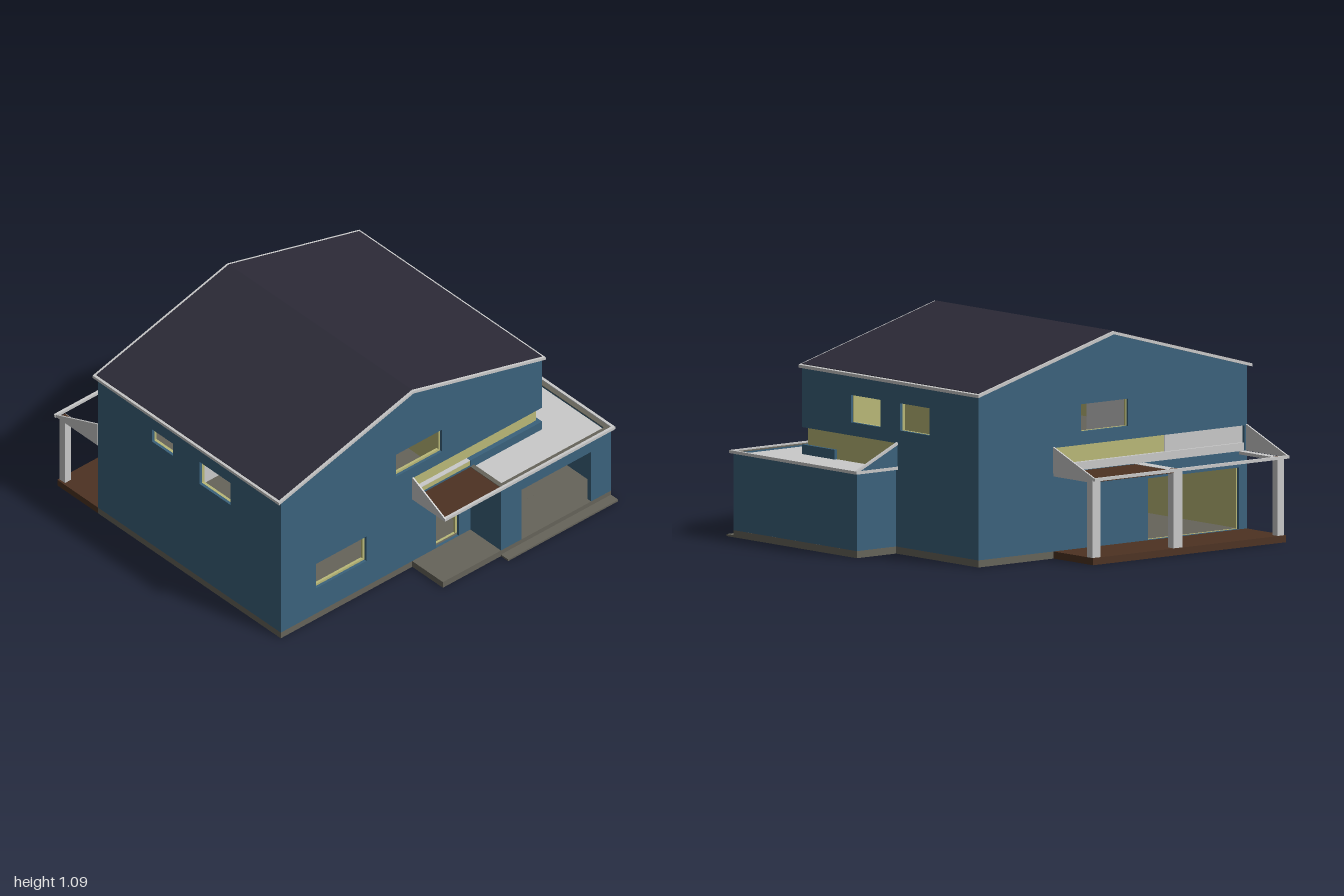
import * as THREE from 'three';

const mat = (name, color) => {
  const m = new THREE.MeshStandardMaterial({ color });
  m.name = name;
  return m;
};

export function createModel() {
  const house = new THREE.Group();
  house.name = 'house';
  const blue = mat('blue siding', 0x3b627c);
  const yellow = mat('yellow plaster', 0xbab978);
  const light = mat('light trim', 0xcacaca);
  const grey = mat('grey concrete', 0x66645a);
  const brown = mat('brown timber', 0x4d3222);
  const dark = mat('dark roofing', 0x2c2a37);

  const add = (name, geo, m) => {
    const mesh = new THREE.Mesh(geo, m);
    mesh.name = name;
    house.add(mesh);
  };
  const box = (name, m, x0, x1, y0, y1, z0, z1) =>
    add(name, new THREE.BoxGeometry(x1 - x0, y1 - y0, z1 - z0)
      .translate((x0 + x1) / 2, (y0 + y1) / 2, (z0 + z1) / 2), m);
  const extrude = (pts, holes, depth) => {
    const v = (list) => list.map(([a, b]) => new THREE.Vector2(a, b));
    const shape = new THREE.Shape(v(pts));
    for (const [a0, a1, b0, b1] of holes) {
      shape.holes.push(new THREE.Path(v([[a0, b0], [a0, b1], [a1, b1], [a1, b0]])));
    }
    return new THREE.ExtrudeGeometry(shape, { depth, bevelEnabled: false });
  };
  // wall facing z: outline in (x, y); wall facing x: outline in (z, y)
  const wallZ = (name, m, z0, z1, pts, holes = []) =>
    add(name, extrude(pts, holes, z1 - z0).translate(0, 0, z0), m);
  const wallX = (name, m, x0, x1, pts, holes = []) =>
    add(name, extrude(pts, holes, x1 - x0).rotateY(-Math.PI / 2).translate(x1, 0, 0), m);
  const rect = (a0, a1, b0, b1) => [[a0, b0], [a1, b0], [a1, b1], [a0, b1]];

  // ---- plinth, porch floor, drive and deck
  box('plinthMain', grey, -0.98, 0.73, 0, 0.035, -0.65, 0.69);
  box('plinthGarage', grey, 0.26, 0.98, 0, 0.0349, -0.025, 0.915);
  box('porchFloor', grey, -0.12, 0.26, 0, 0.0349, 0.69, 0.915);
  box('driveStrip', grey, 0.26, 0.98, 0, 0.01, 0.915, 0.968);
  box('backDeck', brown, -0.98, 0.25, 0, 0.035, -0.95, -0.65);

  // ---- front wall: outer siding and inner plaster
  const upWin = [-0.225, 0.075, 0.61, 0.745];
  const frontHoles = [upWin, [-0.75, -0.42, 0.19, 0.34], [0.035, 0.185, 0.036, 0.34]];
  wallZ('frontWall', blue, 0.675, 0.69, [[-0.98, 0.035], [0.26, 0.035], [0.26, 0.43], [-0.115, 0.43],
    [-0.115, 0.545], [0.73, 0.545], [0.73, 0.845], [-0.12, 1.075], [-0.98, 0.845]], frontHoles);
  wallZ('frontWallInside', yellow, 0.65, 0.663, [[-0.965, 0.035], [0.27, 0.035], [0.27, 0.44], [0.714, 0.44],
    [0.714, 0.83], [-0.12, 1.055], [-0.965, 0.83]], frontHoles);
  box('frontBeam', blue, 0.26, 0.73, 0.40, 0.46, 0.664, 0.69);
  box('porchBeam', yellow, -0.115, 0.26, 0.43, 0.457, 0.663, 0.688);
  box('porchLedge', light, -0.115, 0.26, 0.457, 0.46, 0.66, 0.689);

  // ---- back wall
  const backHoles = [upWin, [-0.93, -0.35, 0.036, 0.34]];
  wallZ('backWallLower', blue, -0.65, -0.635, rect(-0.98, 0.73, 0.035, 0.42), [backHoles[1]]);
  wallZ('backWallUpper', blue, -0.65, -0.635, [[-0.98, 0.545], [0.25, 0.545], [0.25, 0.42], [0.73, 0.42],
    [0.73, 0.845], [-0.12, 1.075], [-0.98, 0.845]], [upWin]);
  wallZ('backWallInside', yellow, -0.628, -0.616, [[-0.965, 0.035], [0.714, 0.035], [0.714, 0.83],
    [-0.12, 1.055], [-0.965, 0.83]], backHoles);
  box('backBathPanel', light, -0.965, -0.47, 0.46, 0.545, -0.634, -0.628);
  box('backLedge', light, -0.965, 0.25, 0.42, 0.46, -0.648, -0.628);

  // ---- side walls
  const bathWin = [-0.255, -0.10, 0.67, 0.745];
  const sideWin = [0.095, 0.32, 0.61, 0.745];
  const backWin = [-0.28, -0.055, 0.61, 0.745];
  wallX('leftSideWall', blue, -0.98, -0.965, rect(-0.65, 0.69, 0.035, 0.845), [bathWin, sideWin]);
  wallX('leftSideInside', yellow, -0.965, -0.95, rect(-0.628, 0.66, 0.035, 0.83), [bathWin, sideWin]);
  wallX('rightSideWall', blue, 0.715, 0.73, [[-0.65, 0.035], [-0.025, 0.035], [-0.025, 0.545], [0.69, 0.545],
    [0.69, 0.845], [-0.65, 0.845]], [sideWin, backWin]);
  wallX('rightSideInside', yellow, 0.70, 0.714, rect(-0.628, 0.66, 0.40, 0.83), [sideWin, backWin]);
  box('rightBeam', blue, 0.70, 0.73, 0.40, 0.46, 0.445, 0.69);

  // ---- rooms
  box('upperFloor', grey, -0.95, 0.70, 0.43, 0.46, -0.616, 0.65);
  box('upperCeiling', light, -0.95, 0.70, 0.81, 0.82, -0.616, 0.65);
  box('lowerCeiling', light, -0.95, 0.70, 0.42, 0.429, -0.616, 0.65);
  box('upperPartition', yellow, 0.10, 0.12, 0.46, 0.81, -0.616, 0.65);
  box('bathWallFront', light, -0.95, -0.47, 0.46, 0.81, -0.06, -0.04);
  box('bathWallSide', light, -0.49, -0.47, 0.46, 0.81, -0.616, -0.06);
  box('hallPartition', yellow, -0.05, 0.26, 0.035, 0.42, 0.18, 0.20);
  box('garageInnerWall', yellow, 0.25, 0.71, 0.035, 0.42, 0.42, 0.445);
  box('garageHouseWall', blue, 0.71, 0.73, 0.035, 0.40, -0.025, 0.445);
  box('garagePorchWall', yellow, 0.25, 0.262, 0.035, 0.42, 0.445, 0.66);

  // ---- garage wing
  wallZ('garageFront', blue, 0.89, 0.915, [[0.26, 0.035], [0.395, 0.035], [0.395, 0.34], [0.85, 0.34],
    [0.85, 0.035], [0.98, 0.035], [0.98, 0.42], [0.26, 0.42]]);
  box('garageSide', blue, 0.955, 0.98, 0.035, 0.42, -0.025, 0.89);
  box('garageBack', blue, 0.73, 0.955, 0.035, 0.42, -0.025, 0);
  box('garagePorchSide', blue, 0.26, 0.285, 0.035, 0.42, 0.675, 0.89);
  box('garageCeiling', light, 0.285, 0.955, 0.40, 0.412, 0, 0.89);
  box('wallTopFront', grey, 0.26, 0.98, 0.42, 0.423, 0.89, 0.915);
  box('wallTopSide', grey, 0.955, 0.98, 0.42, 0.423, 0, 0.89);
  box('wallTopBack', grey, 0.73, 0.98, 0.42, 0.423, -0.025, 0);
  box('wallTopPorch', grey, 0.26, 0.285, 0.42, 0.423, 0.69, 0.89);

  // ---- porch and garage eaves with their open lean-to ends
  box('porchCeiling', brown, -0.11, 0.26, 0.412, 0.42, 0.69, 0.915);
  box('frontGutter', light, -0.12, 0.995, 0.415, 0.43, 0.915, 0.93);
  box('sideGutter', light, 0.98, 0.995, 0.415, 0.43, -0.04, 0.915);
  box('wingBackGutter', light, 0.73, 0.98, 0.415, 0.43, -0.04, -0.025);
  box('porchSideGutter', light, -0.12, -0.11, 0.415, 0.43, 0.69, 0.915);
  wallX('porchEnd', light, -0.12, -0.112, [[0.69, 0.43], [0.93, 0.43], [0.69, 0.55]]);
  wallZ('wingEnd', blue, -0.036, -0.027, [[0.73, 0.43], [0.98, 0.43], [0.73, 0.54]]);
  wallZ('wingEndRake', light, -0.04, -0.025, [[0.73, 0.538], [0.97, 0.43], [0.995, 0.43], [0.73, 0.55]]);

  // ---- back veranda: posts, beams, ends
  for (const [x0, x1] of [[-0.97, -0.93], [-0.325, -0.265], [0.2, 0.25]]) {
    box('verandaPost', light, x0, x1, 0.035, 0.42, -0.945, -0.905);
    box('verandaBeam', light, x0, x1, 0.405, 0.42, -0.905, -0.65);
    box('postTop', brown, x0 + 0.005, x1 - 0.005, 0.42, 0.423, -0.945, -0.907);
  }
  box('verandaCeiling', brown, -0.265, 0.2, 0.408, 0.418, -0.95, -0.65);
  box('verandaGutter', light, -0.985, 0.255, 0.415, 0.43, -0.97, -0.956);
  for (const x of [-0.983, 0.245]) {
    wallX('verandaEnd', light, x, x + 0.009, [[-0.65, 0.42], [-0.65, 0.55], [-0.96, 0.43], [-0.96, 0.42]]);
  }

  // ---- main roof: light fascia slab with dark covering
  const chevron = (inset, lo, hi) => {
    const y = (x) => 1.078 - 0.272 * Math.abs(x + 0.12);
    const xs = [-1 + inset, -0.12, 0.745 - inset];
    return [...xs.map((x) => [x, y(x) + lo]), ...xs.reverse().map((x) => [x, y(x) + hi])];
  };
  wallZ('roofFascia', light, -0.668, 0.7, chevron(0, -0.004, 0.011));
  wallZ('roofCovering', dark, -0.655, 0.687, chevron(0.012, 0.008, 0.0135));

  return house;
}
